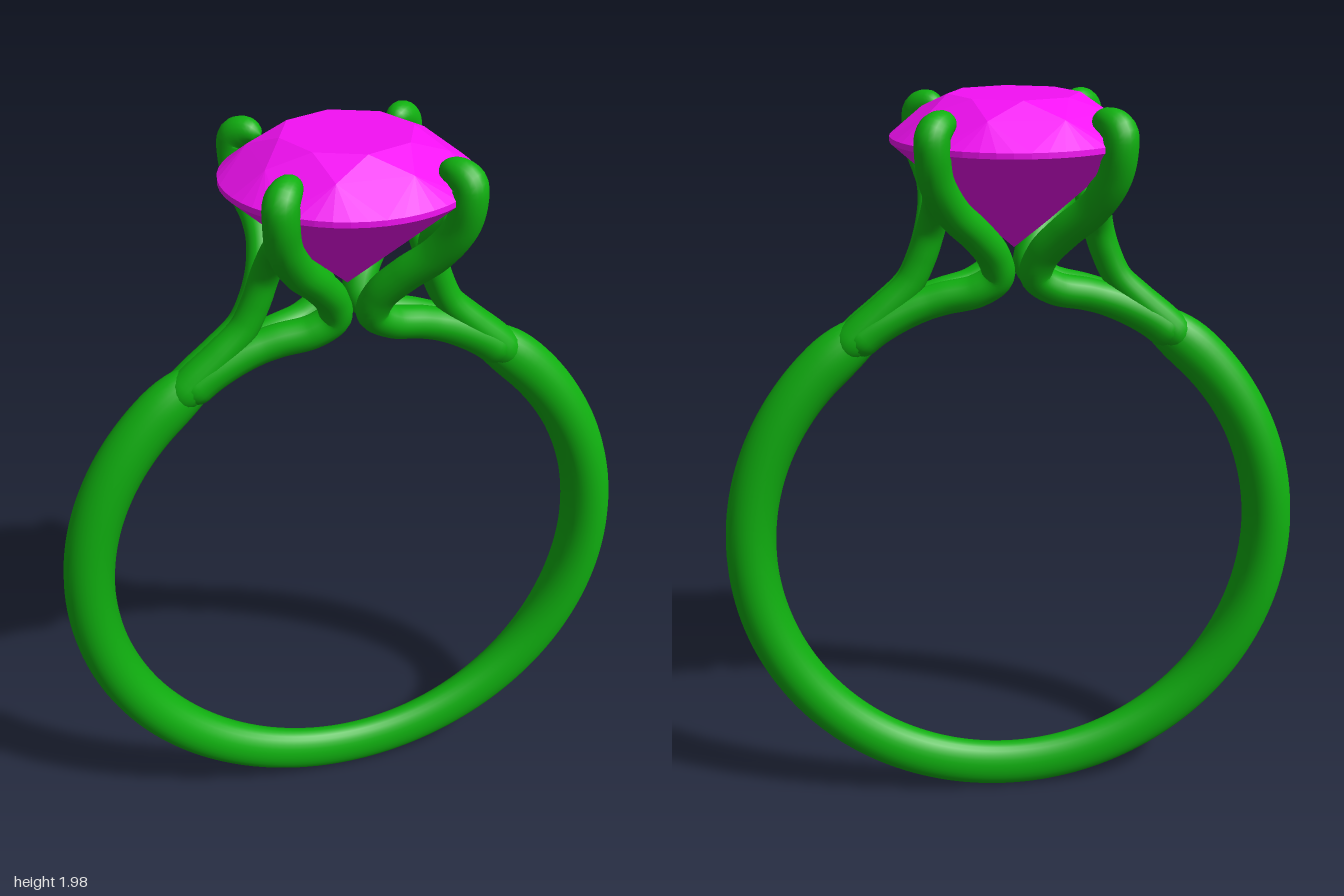
import * as THREE from 'three';
import { mergeVertices } from 'three/addons/utils/BufferGeometryUtils.js';
import { ConvexGeometry } from 'three/addons/geometries/ConvexGeometry.js';

const metal = new THREE.MeshStandardMaterial({ color: 0x10b010 });
const gem = new THREE.MeshStandardMaterial({ color: 0xf510f5, flatShading: true });

// Smooth tube along a curve; size(t) gives the radius in the xy plane and along z
function sweep(curve, steps, sides, size) {
  const geo = new THREE.TubeGeometry(curve, steps, 1, sides, false);
  const pos = geo.attributes.position;
  const v = new THREE.Vector3();
  for (let i = 0; i <= steps; i++) {
    const t = i / steps;
    const centre = curve.getPointAt(t);
    const [rxy, rz] = size(t);
    for (let j = 0; j <= sides; j++) {
      const k = i * (sides + 1) + j;
      v.fromBufferAttribute(pos, k).sub(centre);
      pos.setXYZ(k, centre.x + v.x * rxy, centre.y + v.y * rxy, centre.z + v.z * rz);
    }
  }
  geo.deleteAttribute('uv');
  geo.deleteAttribute('normal');
  const merged = mergeVertices(geo, 1e-5);
  merged.computeVertexNormals();
  return merged;
}

// Rounds a tube off at its start and end over the given fractions
const roundEnds = (t, a, b) => {
  const s = Math.min(1, t / a), e = Math.min(1, (1 - t) / b);
  return Math.max(0.001, Math.sqrt(1 - (1 - s) ** 2) * Math.sqrt(1 - (1 - e) ** 2));
};

// Curve through points, mirrored by signs on x and z
const strandCurve = (points, sx, sz) => new THREE.CatmullRomCurve3(
  points.map(([x, y, z]) => new THREE.Vector3(x * sx, y, z * sz)));

function createStone() {
  const pts = [];
  const ring = (n, r, y, offset) => {
    for (let i = 0; i < n; i++) {
      const a = ((i + offset) / n) * Math.PI * 2;
      pts.push(new THREE.Vector3(Math.cos(a) * r, y, Math.sin(a) * r));
    }
  };
  ring(8, 0.165, 2.0, 0);        // table
  ring(8, 0.24, 1.961, 0.5);     // crown facets
  ring(48, 0.31, 1.9, 0);        // girdle
  ring(48, 0.31, 1.886, 0);
  ring(8, 0.09, 1.69, 0.5);      // pavilion facets
  pts.push(new THREE.Vector3(0, 1.615, 0));
  return new THREE.Mesh(new ConvexGeometry(pts), gem);
}

export function createModel() {
  const model = new THREE.Group();
  const add = (name, geo) => {
    const mesh = new THREE.Mesh(geo, metal);
    mesh.name = name;
    model.add(mesh);
  };

  // Band: open circle, widest at the sides, thin at the bottom
  const start = THREE.MathUtils.degToRad(118), span = THREE.MathUtils.degToRad(304);
  const bandPoints = [];
  for (let i = 0; i <= 40; i++) {
    const a = start + (span * i) / 40;
    bandPoints.push(new THREE.Vector3(Math.cos(a) * 0.715, 0.8 + Math.sin(a) * 0.715, 0));
  }
  add('band', sweep(new THREE.CatmullRomCurve3(bandPoints), 160, 28, (t) => {
    const a = start + span * t;
    const end = roundEnds(t, 0.05, 0.05);
    return [0.067 * end, (0.045 + 0.031 * Math.cos(a) ** 2) * end];
  }));

  // Prong: leaves the band, turns back near the centre and climbs over the stone
  const prong = [
    [0.44, 1.36, 0.01], [0.36, 1.42, 0.012], [0.27, 1.465, 0.015], [0.19, 1.492, 0.024],
    [0.1, 1.515, 0.042], [0.05, 1.553, 0.055], [0.062, 1.61, 0.078], [0.11, 1.675, 0.12],
    [0.17, 1.74, 0.17], [0.212, 1.82, 0.215], [0.222, 1.89, 0.235], [0.22, 1.932, 0.232],
    [0.198, 1.952, 0.206], [0.168, 1.95, 0.172],
  ];
  // Shoulder: rises from the band and forks sideways to a prong
  const shoulder = [
    [0.46, 1.34, 0.01], [0.4, 1.405, 0.011], [0.335, 1.465, 0.012], [0.272, 1.53, 0.012],
    [0.237, 1.6, 0.013], [0.215, 1.67, 0.022], [0.203, 1.73, 0.058], [0.203, 1.772, 0.11],
    [0.21, 1.798, 0.165], [0.214, 1.83, 0.212],
  ];
  for (const sx of [1, -1]) {
    for (const sz of [1, -1]) {
      const side = (sz > 0 ? 'front' : 'back') + (sx > 0 ? 'Left' : 'Right');
      add(side + 'Prong', sweep(strandCurve(prong, sx, sz), 110, 18, (t) => {
        const r = (0.043 + 0.01 * Math.max(0, 1 - t * 4)) * roundEnds(t, 0.06, 0.1);
        return [r, r];
      }));
      add(side + 'Shoulder', sweep(strandCurve(shoulder, sx, sz), 70, 18, (t) => {
        const r = (0.037 + 0.014 * Math.max(0, 1 - t * 2.4)) * roundEnds(t, 0.1, 0.05);
        return [r, r];
      }));
    }
  }

  const stone = createStone();
  stone.name = 'stone';
  model.add(stone);
  return model;
}
